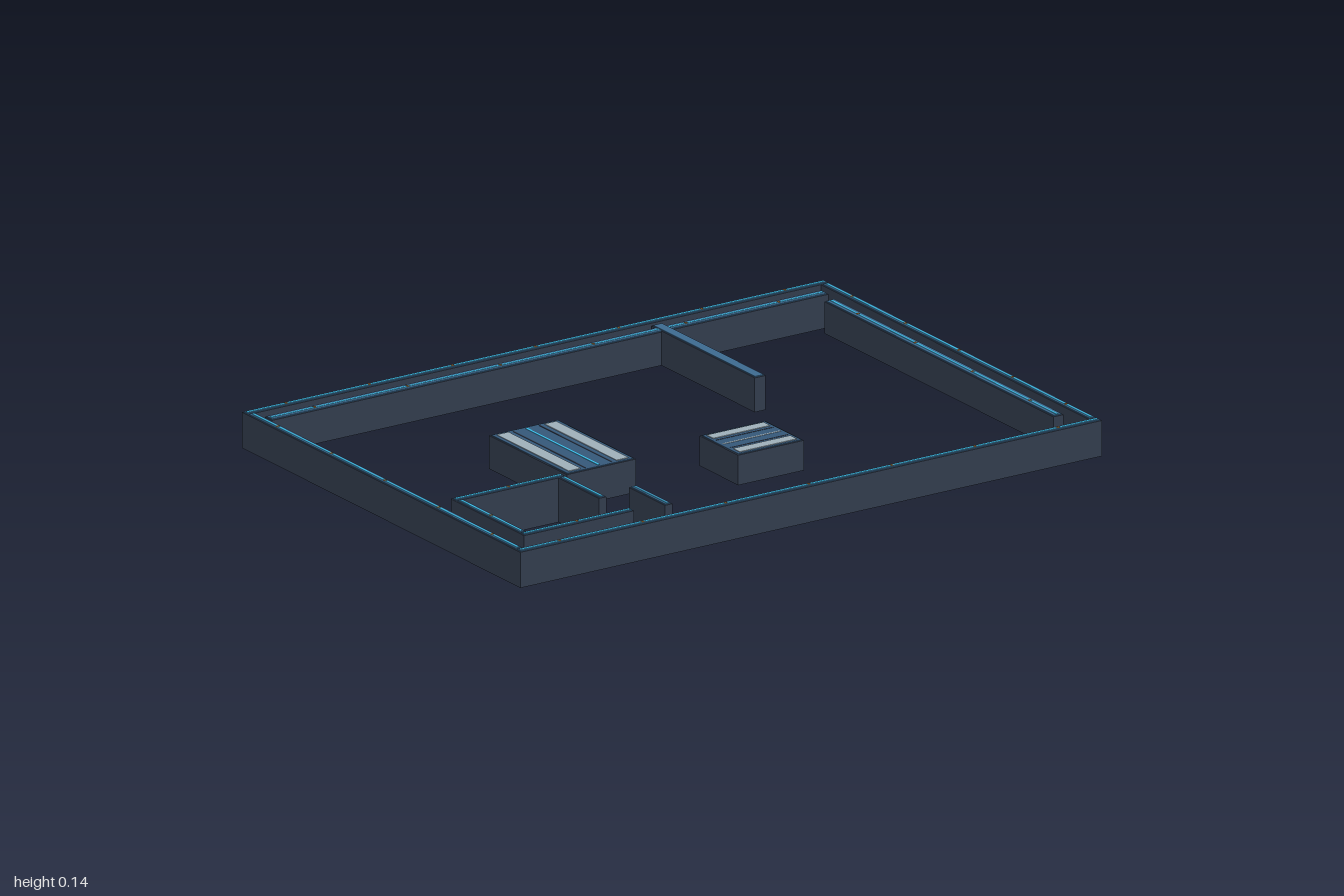
import * as THREE from 'three';

const mat = (color) => new THREE.MeshStandardMaterial({ color });
const BODY = mat(0x323c4d), CAP = mat(0x3d6a90), PANEL = mat(0x35587a);
const LINE = mat(0x38bde8), PALE = mat(0x9fb0ba), STUD = mat(0xb07a3c);

// box given by its extents on each axis
function slab(parent, name, material, [x0, x1], [y0, y1], [z0, z1]) {
  const mesh = new THREE.Mesh(new THREE.BoxGeometry(x1 - x0, y1 - y0, z1 - z0), material);
  mesh.name = name;
  mesh.position.set((x0 + x1) / 2, (y0 + y1) / 2, (z0 + z1) / 2);
  parent.add(mesh);
}

const inset = ([a, b], d) => [a + d, b - d];
const strip = ([a, b], half) => [(a + b) / 2 - half, (a + b) / 2 + half];

// wall: dark body, blue coping, bright centre line and a row of small studs
function wall(parent, name, xs, zs, h, studs = 0, lineHalf = 0.003) {
  const group = new THREE.Group();
  group.name = name;
  const alongX = xs[1] - xs[0] > zs[1] - zs[0];
  slab(group, 'wallBody', BODY, xs, [0, h - 0.004], zs);
  slab(group, 'coping', CAP, inset(xs, 0.004), [h - 0.004, h - 0.001], inset(zs, 0.004));
  if (lineHalf) {
    slab(group, 'centreLine', LINE,
      alongX ? inset(xs, 0.008) : strip(xs, lineHalf), [h - 0.001, h],
      alongX ? strip(zs, lineHalf) : inset(zs, 0.008));
  }
  const run = alongX ? xs : zs;
  for (let i = 0; i < studs; i++) {
    const c = run[0] + (run[1] - run[0]) * (i + 0.5) / studs;
    const along = [c - 0.004, c + 0.004];
    slab(group, 'stud', STUD, alongX ? along : strip(xs, 0.004), [h - 0.001, h + 0.001],
      alongX ? strip(zs, 0.004) : along);
  }
  parent.add(group);
}

// block: dark body with a top panel, pale edge bands, ribs and a centre line
function block(parent, name, xs, zs, h, bandsAlongX) {
  const group = new THREE.Group();
  group.name = name;
  slab(group, 'blockBody', BODY, xs, [0, h - 0.004], zs);
  slab(group, 'topPanel', PANEL, inset(xs, 0.005), [h - 0.004, h - 0.002], inset(zs, 0.005));
  const across = bandsAlongX ? zs : xs;
  const along = inset(bandsAlongX ? xs : zs, 0.015);
  const size = across[1] - across[0];
  const band = (label, material, from, to, top) => {
    const range = [across[0] + size * from, across[0] + size * to];
    slab(group, label, material, bandsAlongX ? along : range, [h - 0.002, top],
      bandsAlongX ? range : along);
  };
  band('paleBand', PALE, 0.07, 0.24, h);
  band('paleBand', PALE, 0.76, 0.93, h);
  for (const t of [0.31, 0.69]) band('rib', BODY, t - 0.01, t + 0.01, h - 0.001);
  band('centreLine', bandsAlongX ? PALE : LINE, 0.485, 0.515, h - 0.001);
  parent.add(group);
}

export function createModel() {
  const model = new THREE.Group();
  model.name = 'floorPlan';
  const H = 0.112, T = 0.027, X = 1, Z = 0.713;

  // outer enclosure
  wall(model, 'backOuterWall', [-X, X], [-Z, -Z + T], H, 7);
  wall(model, 'frontOuterWall', [-X, X], [Z - T, Z], H, 7);
  wall(model, 'rightOuterWall', [-X, -X + T], [-Z + T, Z - T], H, 5);
  wall(model, 'leftOuterWall', [X - T, X], [-Z + T, Z - T], H, 5);

  // inner partitions
  wall(model, 'backInnerWall', [-0.957, 0.957], [-0.66, -0.624], 0.105, 6);
  wall(model, 'leftInnerWall', [0.92, 0.955], [-0.59, 0.583], 0.1, 4);
  wall(model, 'partition', [0.383, 0.421], [-0.676, -0.147], 0.108, 0, 0);

  // corner room with a doorway, and the screen beside it
  const R = 0.138, W = 0.025;
  wall(model, 'roomBackWall', [-0.953, -0.575], [0.287, 0.287 + W], R, 1);
  wall(model, 'roomFrontWall', [-0.953, -0.575], [0.637, 0.637 + W], R, 1);
  wall(model, 'roomOuterSideWall', [-0.953, -0.953 + W], [0.287 + W, 0.637], R, 1);
  wall(model, 'roomDoorSideWall', [-0.6, -0.575], [0.287 + W, 0.52], R);
  wall(model, 'screenWall', [-0.477, -0.451], [0.49, 0.674], R, 0, 0.002);

  // free-standing counters
  block(model, 'largeBlock', [-0.513, -0.275], [-0.173, 0.226], 0.105, false);
  block(model, 'smallBlock', [0, 0.226], [0.141, 0.339], 0.095, true);
  return model;
}
